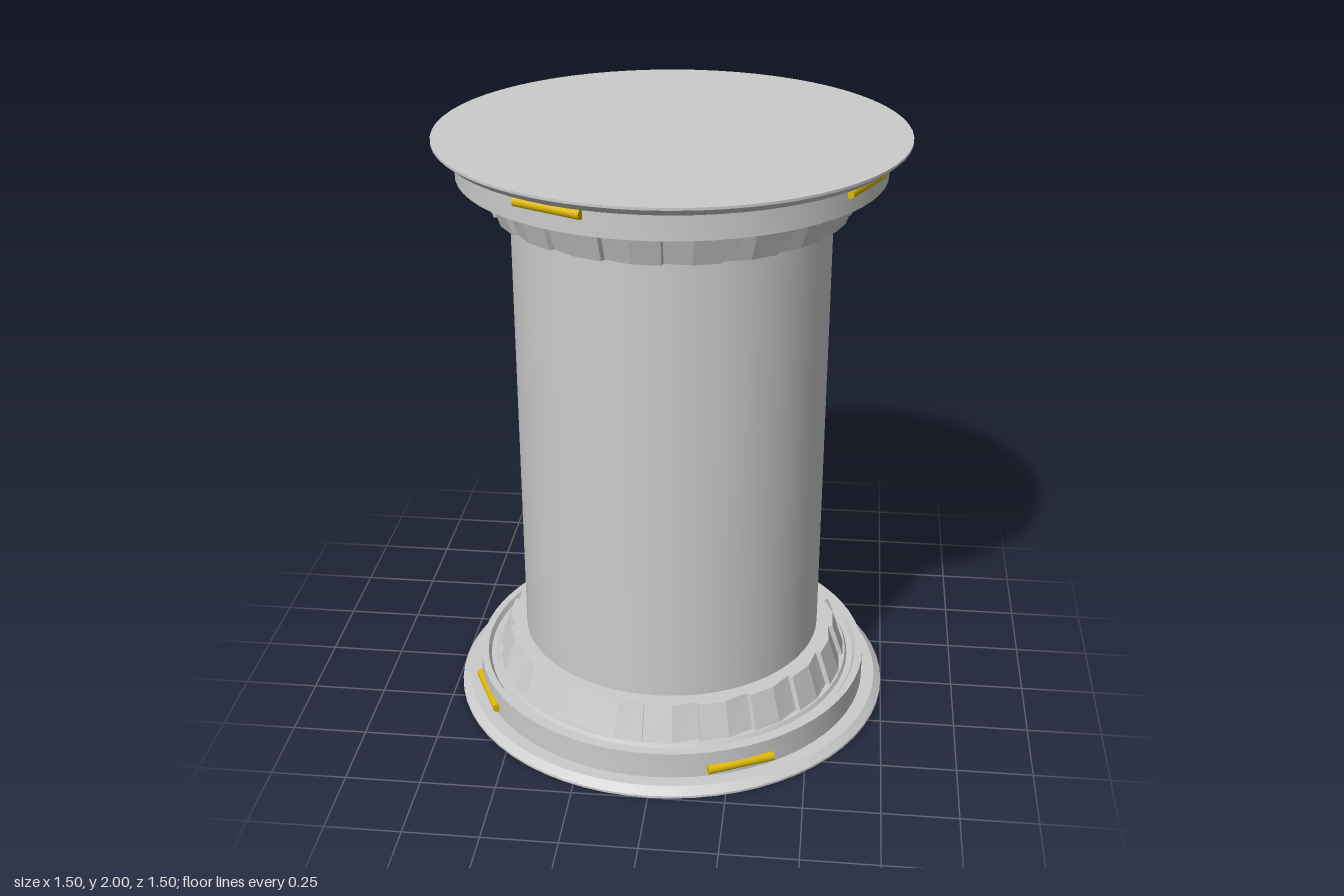
import * as THREE from 'three';
import { toCreasedNormals } from 'three/addons/utils/BufferGeometryUtils.js';

const grey = new THREE.MeshStandardMaterial({ color: 0xcccccc });
const greyFlat = new THREE.MeshStandardMaterial({ color: 0xcccccc, flatShading: true });
const yellow = new THREE.MeshStandardMaterial({ color: 0xdcb800 });

function mesh(name, geometry, material) {
  const m = new THREE.Mesh(geometry, material);
  m.name = name;
  return m;
}

function lathe(name, profile) {
  const points = profile.map(([r, y]) => new THREE.Vector2(r, y));
  return mesh(name, toCreasedNormals(new THREE.LatheGeometry(points, 64), 0.5), grey);
}

// Tapered collar of overlapping, ratchet-like panels with a flat cap.
function collarGeometry(count, phase) {
  const pos = [];
  const step = (Math.PI * 2) / count;
  const at = (r, a, y) => [r * Math.sin(a), y, r * Math.cos(a)];
  const quad = (a, b, c, d) => pos.push(...a, ...b, ...c, ...a, ...c, ...d);
  const yBase = 0.11, yTop = 0.235, rInner = 0.5;
  const rBase = [0.615, 0.6], rTop = [0.572, 0.556];
  const strip = (a0, a1, k0, k1) => {
    quad(at(rBase[k0], a0, yBase), at(rBase[k1], a1, yBase), at(rTop[k1], a1, yTop), at(rTop[k0], a0, yTop));
    quad(at(rTop[k0], a0, yTop), at(rTop[k1], a1, yTop), at(rInner, a1, yTop), at(rInner, a0, yTop));
  };
  for (let i = 0; i < count; i++) {
    const a = phase + i * step;
    const mid = a + step * 0.5, end = a + step * 0.97;
    strip(a, mid, 0, 0);
    strip(mid, end, 0, 1);
    strip(end, a + step, 1, 0);
  }
  const g = new THREE.BufferGeometry();
  g.setAttribute('position', new THREE.Float32BufferAttribute(pos, 3));
  g.computeVertexNormals();
  return g;
}

function endAssembly(name) {
  const group = new THREE.Group();
  group.name = name;

  // Wide thin plate with a bevelled rim
  group.add(lathe('flange', [[0, 0], [0.75, 0], [0.75, 0.008], [0.725, 0.03], [0.66, 0.03]]));

  // Drum with a shallow groove around the collar
  group.add(lathe('drum', [
    [0.67, 0.025], [0.68, 0.03], [0.68, 0.122], [0.655, 0.122],
    [0.645, 0.105], [0.625, 0.105], [0.618, 0.118], [0.5, 0.118],
  ]));

  group.add(mesh('panelledCollar', collarGeometry(20, THREE.MathUtils.degToRad(-3)), greyFlat));

  // Four bar lamps set into the drum
  for (let i = 0; i < 4; i++) {
    const angle = THREE.MathUtils.degToRad(25.5) + i * Math.PI / 2;
    const lamp = mesh('lamp', new THREE.CylinderGeometry(0.016, 0.016, 0.23, 12).rotateZ(Math.PI / 2), yellow);
    lamp.position.set(0.675 * Math.sin(angle), 0.058, 0.675 * Math.cos(angle));
    lamp.rotation.y = angle;
    group.add(lamp);
  }
  return group;
}

export function createModel() {
  const model = new THREE.Group();
  model.name = 'column';

  const shaft = mesh('shaft', new THREE.CylinderGeometry(0.514, 0.514, 1.8, 64, 1, true), grey);
  shaft.position.y = 1;
  model.add(shaft);

  // The upper end is the lower one turned over
  const upper = endAssembly('upperEnd');
  upper.rotation.z = Math.PI;
  upper.position.y = 2;
  model.add(endAssembly('lowerEnd'), upper);
  return model;
}
